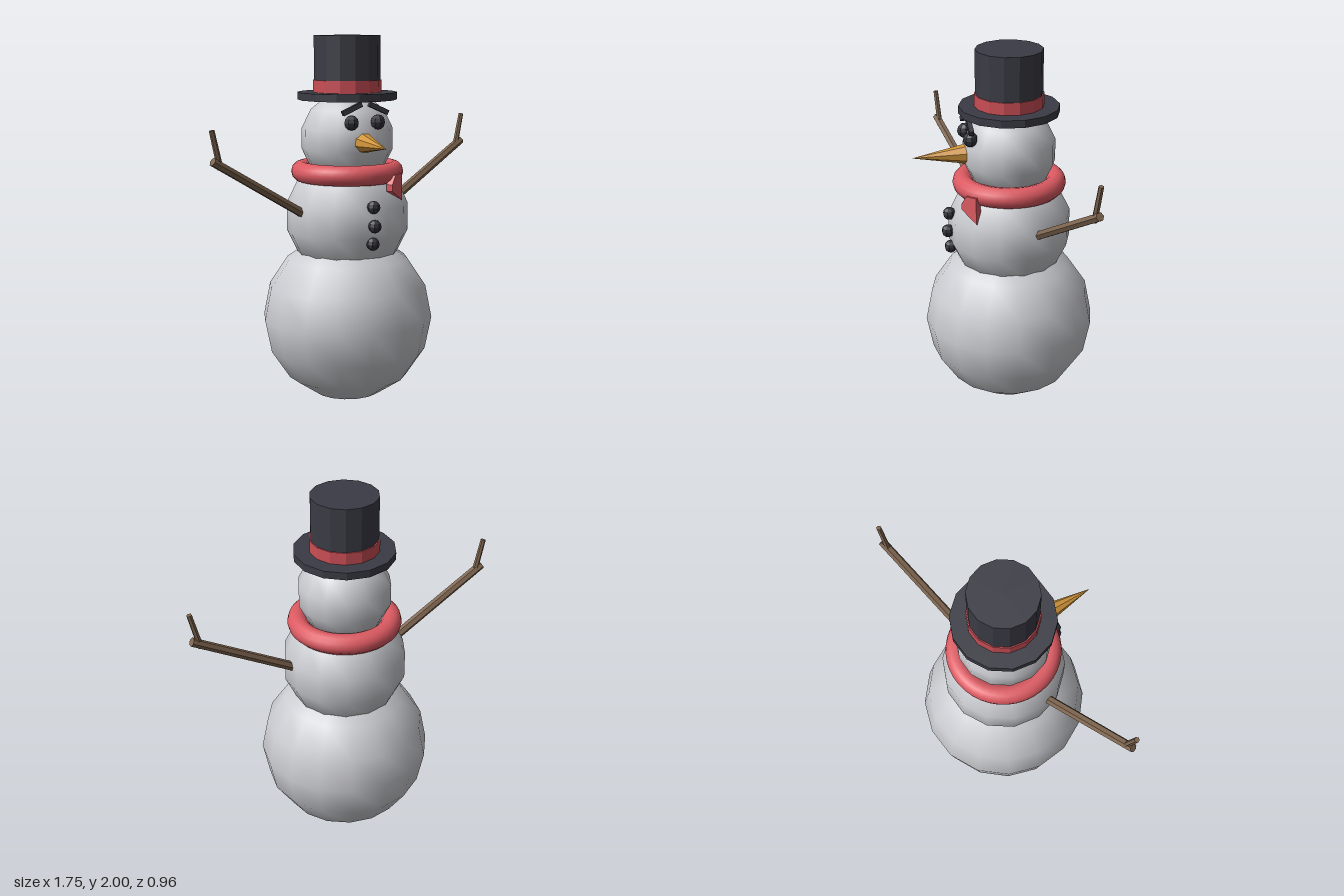
import * as THREE from 'three';

export function createModel() {
  const model = new THREE.Group();
  model.name = 'snowman';

  const mat = (name, color, flatShading = false) =>
    Object.assign(new THREE.MeshStandardMaterial({ color, flatShading }), { name });
  const snow = mat('snow', 0xcbccd1);
  const black = mat('hatBlack', 0x3b3b45, true);
  const coal = mat('coal', 0x32323a, true);
  const red = mat('scarfRed', 0xdc5a62);
  const bandRed = mat('bandRed', 0xcb4e56, true);
  const wood = mat('wood', 0x7f6650, true);
  const carrot = mat('carrot', 0xd0943a, true);

  const Z = -0.018; // depth of the body axis
  const FACE = -0.305; // the face is turned a little to its right

  function add(name, geometry, material, x, y, z) {
    const mesh = new THREE.Mesh(geometry, material);
    mesh.name = name;
    mesh.position.set(x, y, z);
    model.add(mesh);
    return mesh;
  }

  // Cylinder or cone between two points
  function rod(name, a, b, rA, rB, sides, material) {
    const from = new THREE.Vector3(...a);
    const dir = new THREE.Vector3(...b).sub(from);
    const geometry = new THREE.CylinderGeometry(rB, rA, dir.length(), sides);
    const mid = from.clone().addScaledVector(dir, 0.5);
    const mesh = add(name, geometry, material, mid.x, mid.y, mid.z);
    mesh.quaternion.setFromUnitVectors(new THREE.Vector3(0, 1, 0), dir.normalize());
    return mesh;
  }

  // Snowballs
  const balls = [
    ['base', 0.465, 16, 8, 0.47],
    ['torso', 0.338, 14, 7, 1.025],
    ['head', 0.252, 14, 7, 1.45],
  ];
  for (const [name, r, w, h, y] of balls) {
    add(name, new THREE.SphereGeometry(r, w, h), snow, 0, y, Z).rotation.y = Math.PI / 2;
  }

  // Top hat
  add('hatBrim', new THREE.CylinderGeometry(0.267, 0.267, 0.04, 14), black, 0, 1.68, Z);
  add('hatCrown', new THREE.CylinderGeometry(0.178, 0.178, 0.3, 14), black, 0, 1.85, Z);
  add('hatBand', new THREE.CylinderGeometry(0.184, 0.184, 0.066, 14), bandRed, 0, 1.732, Z);

  // Scarf ring and its short hanging end
  add('scarf', new THREE.TorusGeometry(0.249, 0.055, 12, 40), red, 0, 1.275, Z).rotation.x = Math.PI / 2;
  const tail = new THREE.Shape([
    [-0.055, 1.19], [0.05, 1.132], [0.046, 1.278], [-0.022, 1.272], [-0.055, 1.225],
  ].map(([x, y]) => new THREE.Vector2(x, y - 1.21)));
  const tailGeometry = new THREE.ExtrudeGeometry(tail, { depth: 0.035, bevelEnabled: false });
  tailGeometry.translate(0, 0, -0.0175);
  add('scarfEnd', tailGeometry, red, 0.095, 1.21, 0.262).rotation.y = 0.33;

  // Carrot nose
  rod('nose', [-0.06, 1.447, 0.17], [-0.155, 1.443, 0.478], 0.06, 0, 8, carrot);

  // Eyes and slanted brows
  for (const [side, x, z, tilt] of [['left', 0.012, 0.22, -0.42], ['right', -0.132, 0.178, 0.42]]) {
    add(side + 'Eye', new THREE.SphereGeometry(0.04, 8, 6), coal, x, 1.553, z).rotation.y = FACE;
    const brow = add(side + 'Brow', new THREE.BoxGeometry(0.115, 0.026, 0.025), black, x, 1.625, z + 0.003);
    brow.rotation.set(0, FACE, tilt);
  }

  // Coal buttons
  for (const [y, z] of [[1.12, 0.302], [1.02, 0.312], [0.925, 0.297]]) {
    add('button', new THREE.SphereGeometry(0.035, 8, 6), coal, -0.085, y, z);
  }

  // Stick arms, each with one twig
  for (const [side, s] of [['left', 1], ['right', -1]]) {
    rod(side + 'Arm', [s * 0.26, 1.045, Z], [s * 0.86, 1.387, Z], 0.025, 0.023, 6, wood);
    rod(side + 'Twig', [s * 0.815, 1.345, Z], [s * 0.862, 1.542, Z], 0.016, 0.014, 6, wood);
  }

  return model;
}
